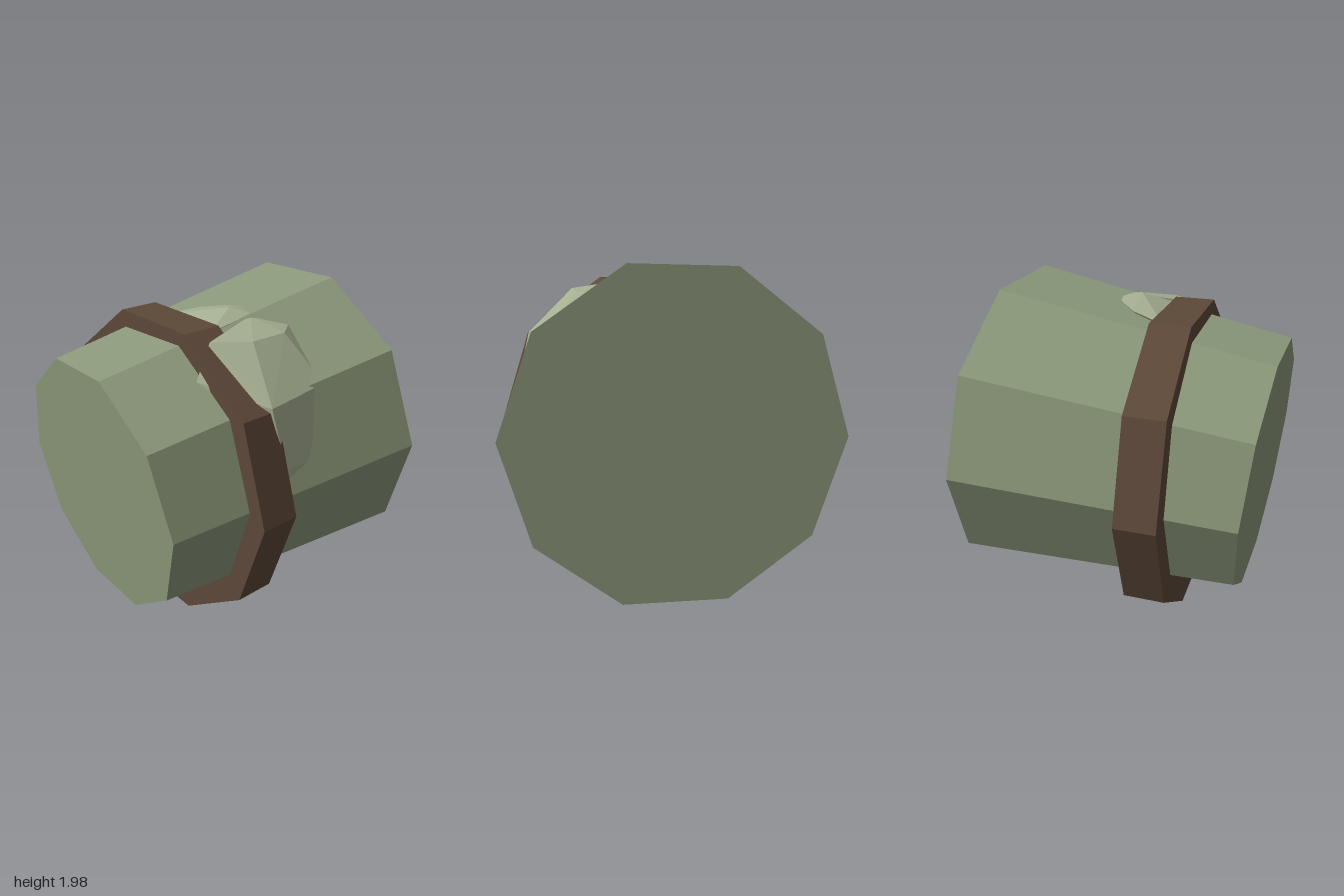
import * as THREE from 'three';
import { ConvexGeometry } from 'three/addons/geometries/ConvexGeometry.js';

function part(name, geometry, color) {
  const material = new THREE.MeshStandardMaterial({ color, flatShading: true });
  const mesh = new THREE.Mesh(geometry, material);
  mesh.name = name;
  return mesh;
}

// Convex faceted lump from a handful of corner points
function lump(name, points) {
  const corners = points.map((p) => new THREE.Vector3(...p));
  return part(name, new ConvexGeometry(corners), 0xa4ae90);
}

// Ten-sided drum lying along x, its top radius at the +x end
function drum(rightRadius, leftRadius, length) {
  return new THREE.CylinderGeometry(rightRadius, leftRadius, length, 10).rotateZ(-Math.PI / 2);
}

export function createModel() {
  const model = new THREE.Group();
  model.name = 'bandedStump';

  // Tapered body, slightly rolled and tilted
  const bodyGeometry = drum(0.97, 0.785, 1.646)
    .rotateX(-0.031)
    .rotateZ(0.077)
    .rotateY(-0.038)
    .translate(-0.01, 0.988, -0.002);
  model.add(part('body', bodyGeometry, 0x8c997b));

  // Upright band around the narrow half
  const bandGeometry = drum(0.97, 0.97, 0.24).translate(-0.28, 0.925, -0.03);
  model.add(part('band', bandGeometry, 0x5c4838));

  // Large lump over the front shoulder, passing beneath the band
  model.add(lump('frontLump', [
    [-0.29, 1.8, 0.35], [0.1, 1.85, 0.25], [0.26, 1.8, 0.4],
    [0.14, 1.8, 0.49], [-0.1, 1.8, 0.49],
    [0.24, 1.54, 0.72], [-0.2, 1.52, 0.76],
    [0.02, 1.17, 0.84], [-0.16, 1.17, 0.85], [-0.18, 1.1, 0.85],
    [-0.44, 1.63, 0.42], [-0.4, 1.55, 0.5], [0, 1.3, 0.3],
  ]));

  // Low dome on top
  model.add(lump('topLump', [
    [0.02, 1.89, 0.15],
    [-0.2, 1.81, -0.2], [0, 1.84, -0.1], [0.12, 1.86, 0.03],
    [0.14, 1.865, 0.13], [0.11, 1.86, 0.25], [-0.2, 1.81, 0.25],
    [0, 1.6, 0.1],
  ]));

  return model;
}
